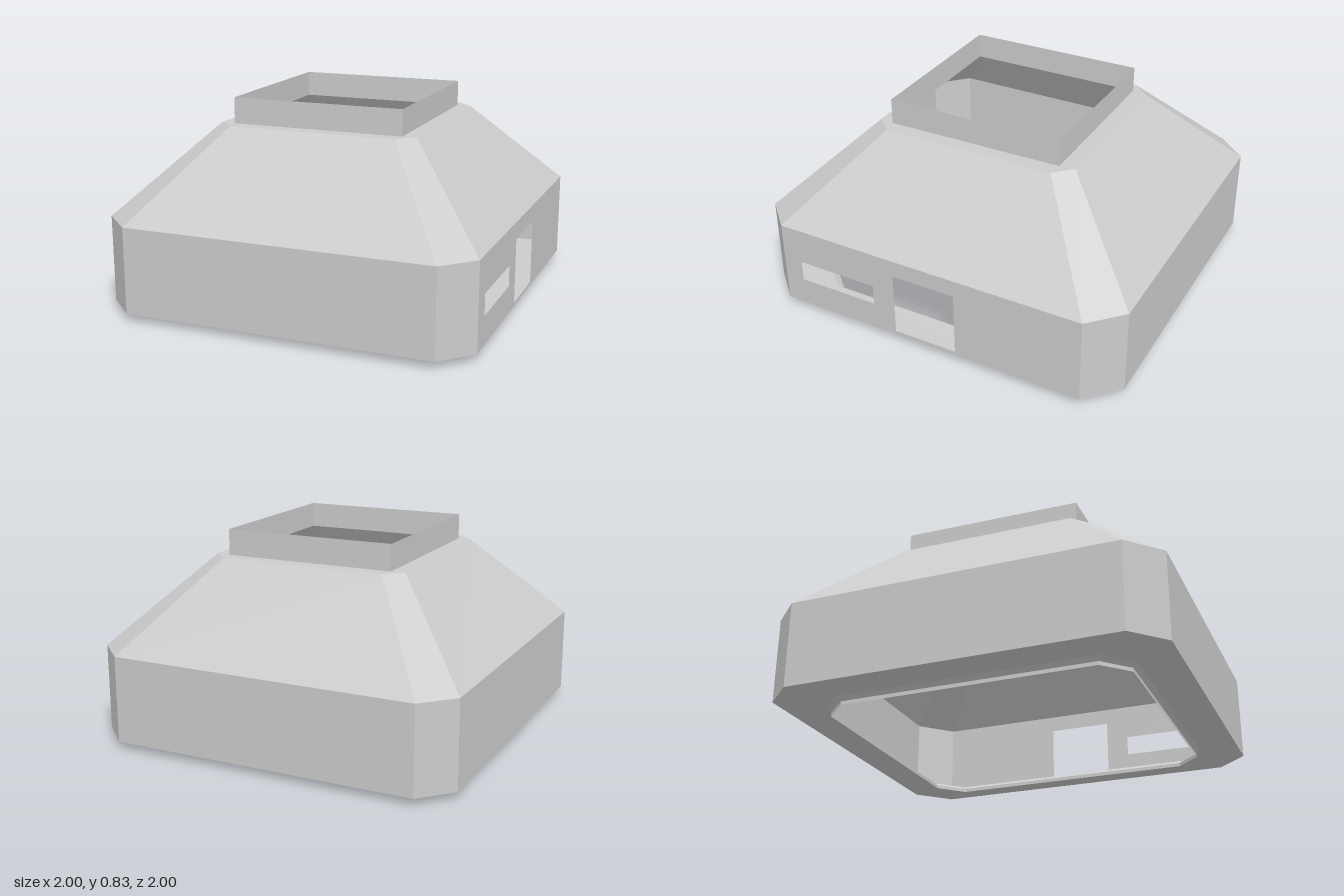
import * as THREE from 'three';

const grey = new THREE.MeshStandardMaterial({ color: 0xcccccc, side: THREE.DoubleSide });
grey.name = 'plain grey';

// Plan outlines as [x, z], running from +x towards +z
const withOpposite = (half) => [...half, ...half.map(([x, z]) => [-x, -z])];
const scaled = (ring, s) => ring.map(([x, z]) => [x * s, z * s]);
const base = withOpposite([[1, -0.09], [1, 0.09], [0.04, 1], [-0.13, 1]]);
const shoulder = withOpposite([[0.545, -0.05], [0.545, 0.048], [0.025, 0.545], [-0.07, 0.545]]);
const diamond = withOpposite([[0.508, 0], [-0.02, 0.512]]);

const FLOOR = 0.03, EAVE = 0.38, TOP = 0.73, RIM = 0.835;

// Flat-faced band between two outlines, leaving out one side if asked
function band(lower, y0, upper, y1, skip = -1) {
  const pos = [];
  lower.forEach(([ax, az], i) => {
    if (i === skip) return;
    const j = (i + 1) % lower.length;
    const a = [ax, y0, az], b = [lower[j][0], y0, lower[j][1]];
    const c = [upper[i][0], y1, upper[i][1]], d = [upper[j][0], y1, upper[j][1]];
    pos.push(...a, ...c, ...b, ...b, ...c, ...d);
  });
  const g = new THREE.BufferGeometry();
  g.setAttribute('position', new THREE.Float32BufferAttribute(pos, 3));
  g.computeVertexNormals();
  return g;
}

// Horizontal plate with an opening, facing up (1) or down (-1)
function plate(outer, inner, y, facing) {
  const points = (ring) => ring.map(([x, z]) => new THREE.Vector2(x, -facing * z));
  const shape = new THREE.Shape(points(outer));
  shape.holes.push(new THREE.Path(points(inner)));
  return new THREE.ShapeGeometry(shape).rotateX(-facing * Math.PI / 2).translate(0, y, 0);
}

function rectangle(PathType, x0, x1, y0, y1) {
  return new PathType([[x0, y0], [x1, y0], [x1, y1], [x0, y1]].map((p) => new THREE.Vector2(...p)));
}

// Wall panel with a slot window and a doorway; openings run along the wall from 0 to 1
function openWall() {
  const [[x1, z1], [x0, z0]] = [base[1], base[2]];
  const length = Math.hypot(x1 - x0, z1 - z0);
  const wall = rectangle(THREE.Shape, 0, length, FLOOR, EAVE);
  wall.holes.push(rectangle(THREE.Path, 0.063 * length, 0.323 * length, 0.145, 0.23));
  wall.holes.push(rectangle(THREE.Path, 0.396 * length, 0.6 * length, 0.045, 0.31));
  return new THREE.ShapeGeometry(wall)
    .rotateY(Math.atan2(z0 - z1, x1 - x0))
    .translate(x0, 0, z0);
}

export function createModel() {
  const model = new THREE.Group();
  model.name = 'hollowHousing';
  const add = (name, geometry) => {
    const mesh = new THREE.Mesh(geometry, grey);
    mesh.name = name;
    model.add(mesh);
  };

  // Body shell
  add('walls', band(base, FLOOR, base, EAVE, 1));
  add('wallWithOpenings', openWall());
  add('slopedRoof', band(base, EAVE, shoulder, TOP));

  // Open collar on the roof
  add('shoulder', plate(shoulder, diamond, TOP, 1));
  add('collar', band(diamond, TOP, diamond, RIM));

  // Underside ring and the lip hanging from its opening
  const opening = scaled(base, 0.8), foot = scaled(base, 0.775);
  add('floorRing', plate(base, opening, FLOOR, -1));
  add('lipBevel', band(foot, 0.015, opening, FLOOR));
  add('lip', band(foot, 0, foot, 0.015));

  return model;
}
